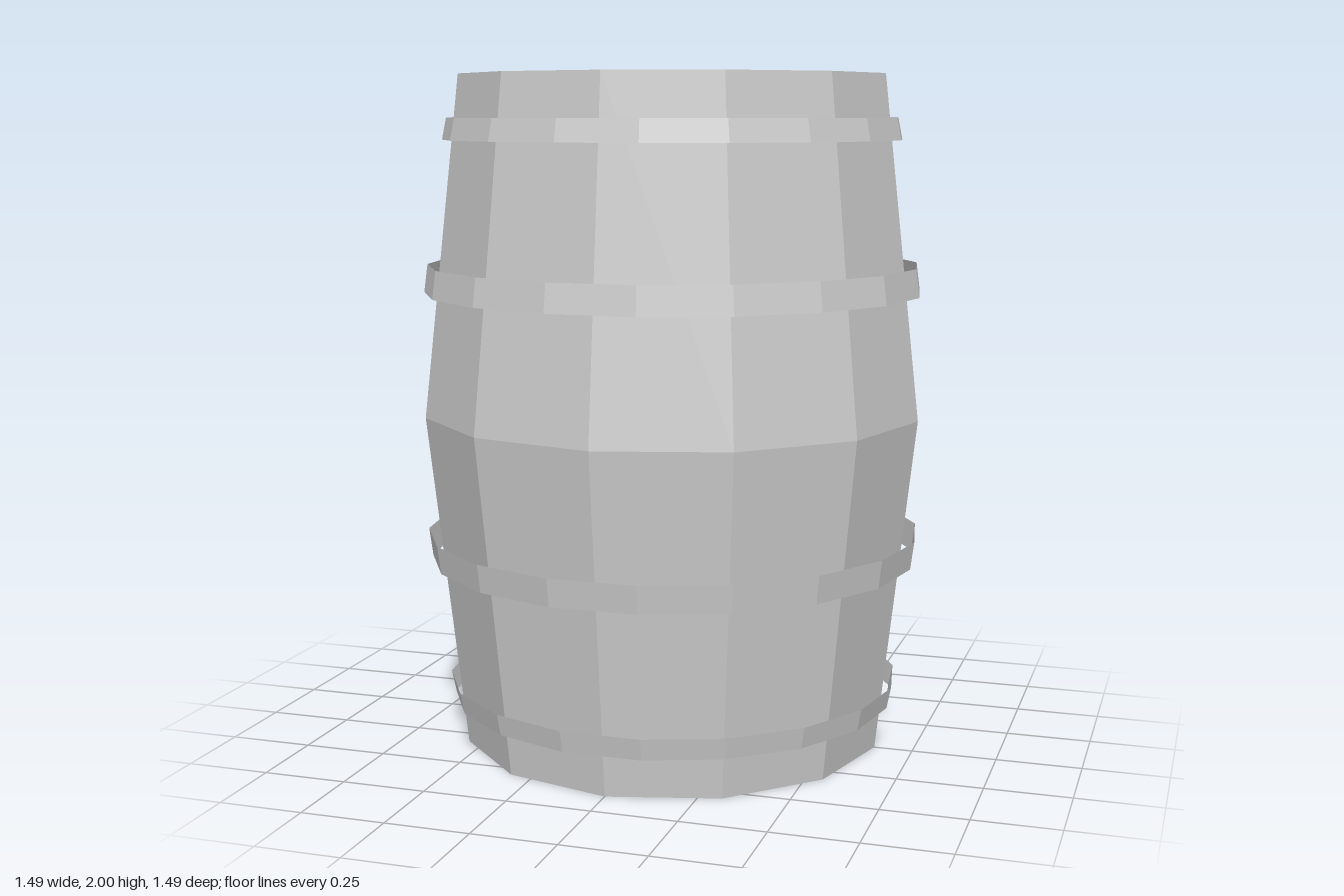
import * as THREE from 'three';

export function createModel() {
  const barrel = new THREE.Group();
  barrel.name = 'barrel';

  const grey = new THREE.MeshStandardMaterial({ color: 0xcccccc, flatShading: true, side: THREE.DoubleSide });
  grey.name = 'plain grey';

  const add = (name, geometry) => {
    const mesh = new THREE.Mesh(geometry, grey);
    mesh.name = name;
    barrel.add(mesh);
    return mesh;
  };

  // Twelve-sided stave wall, widest at mid height, open at both ends
  const profile = [[0.635, 0], [0.747, 1], [0.635, 2]].map(([r, y]) => new THREE.Vector2(r, y));
  add('staves', new THREE.LatheGeometry(profile, 12));

  // Eighteen-sided heads, slightly recessed at top and bottom
  const head = (name, y, tilt) => {
    const geometry = new THREE.CircleGeometry(0.62, 18).rotateX(tilt);
    add(name, geometry).position.y = y;
  };
  head('topHead', 1.955, -Math.PI / 2);
  head('bottomHead', 0.045, Math.PI / 2);

  // Thin tapered hoops: [name, distance from mid height, height, outer-end radius, inner-end radius]
  const hoops = [['Rim', 0.842, 0.064, 0.67, 0.683], ['Belly', 0.402, 0.083, 0.733, 0.744]];
  for (const [name, offset, height, small, large] of hoops) {
    for (const side of [1, -1]) {
      const [top, bottom] = side > 0 ? [small, large] : [large, small];
      const band = new THREE.CylinderGeometry(top, bottom, height, 18, 1, true, Math.PI / 2);
      add((side > 0 ? 'upper' : 'lower') + name + 'Hoop', band).position.y = 1 + side * offset;
    }
  }

  return barrel;
}
